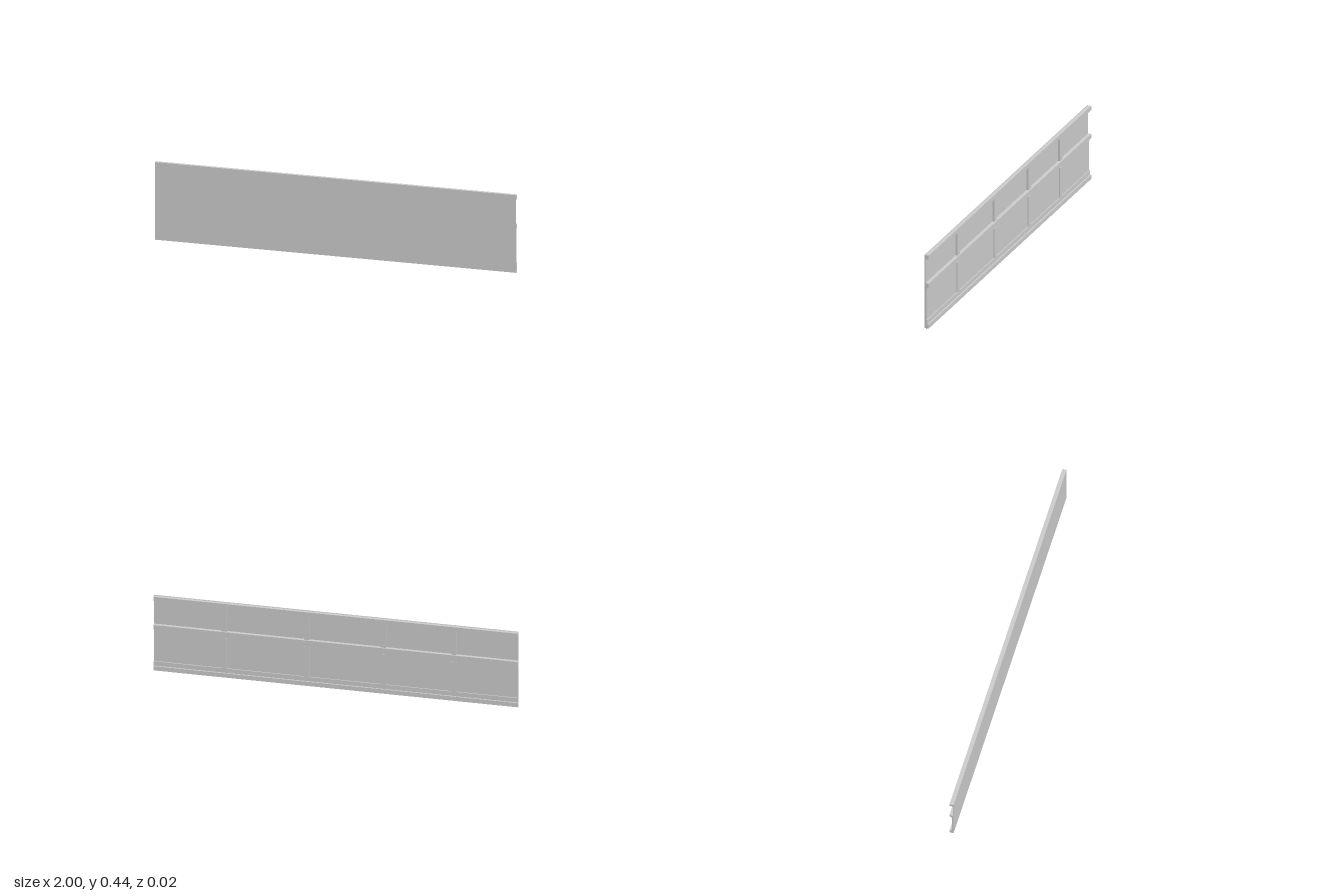
import * as THREE from 'three';

export function createModel() {
  const group = new THREE.Group();
  const material = new THREE.MeshStandardMaterial({ color: 0xcccccc, flatShading: true });

  // Box given by its limits on each axis
  function slab(name, x0, x1, y0, y1, zBack, zFront) {
    const mesh = new THREE.Mesh(
      new THREE.BoxGeometry(x1 - x0, y1 - y0, zFront - zBack), material);
    mesh.position.set((x0 + x1) / 2, (y0 + y1) / 2, (zBack + zFront) / 2);
    mesh.name = name;
    group.add(mesh);
  }

  const skinBack = 0.0075, lowerBack = 0.0025, stripBack = -0.003, railBack = -0.011;

  // Flat front skin, with a thicker lower half
  slab('frontSkin', -1, 1, 0.005, 0.442, skinBack + 0.001, 0.012);
  slab('lowerBacking', -1, 1, 0.005, 0.25, lowerBack, 0.0115);
  slab('bottomLip', -1, 1, 0, 0.006, 0.001, 0.0055);

  // Full-length rails on the back
  slab('topRail', -1, 1, 0.415, 0.44, railBack, 0.0095);
  slab('middleRail', -1, 1, 0.248, 0.273, railBack, 0.0095);
  slab('middleStrip', -1, 1, 0.23, 0.249, -0.0005, 0.0095);
  slab('bottomRail', -1, 1, 0.0052, 0.03, railBack, 0.0095);
  slab('bottomStrip', -1, 1, 0.029, 0.055, stripBack, 0.0095);

  // Uprights between the rails
  for (const x of [0.613, 0.161, -0.26, -0.647]) {
    slab('upperUpright', x - 0.014, x + 0.014, 0.272, 0.416, stripBack, 0.009);
    slab('lowerUpright', x - 0.014, x + 0.014, 0.054, 0.231, stripBack, 0.004);
  }
  return group;
}
